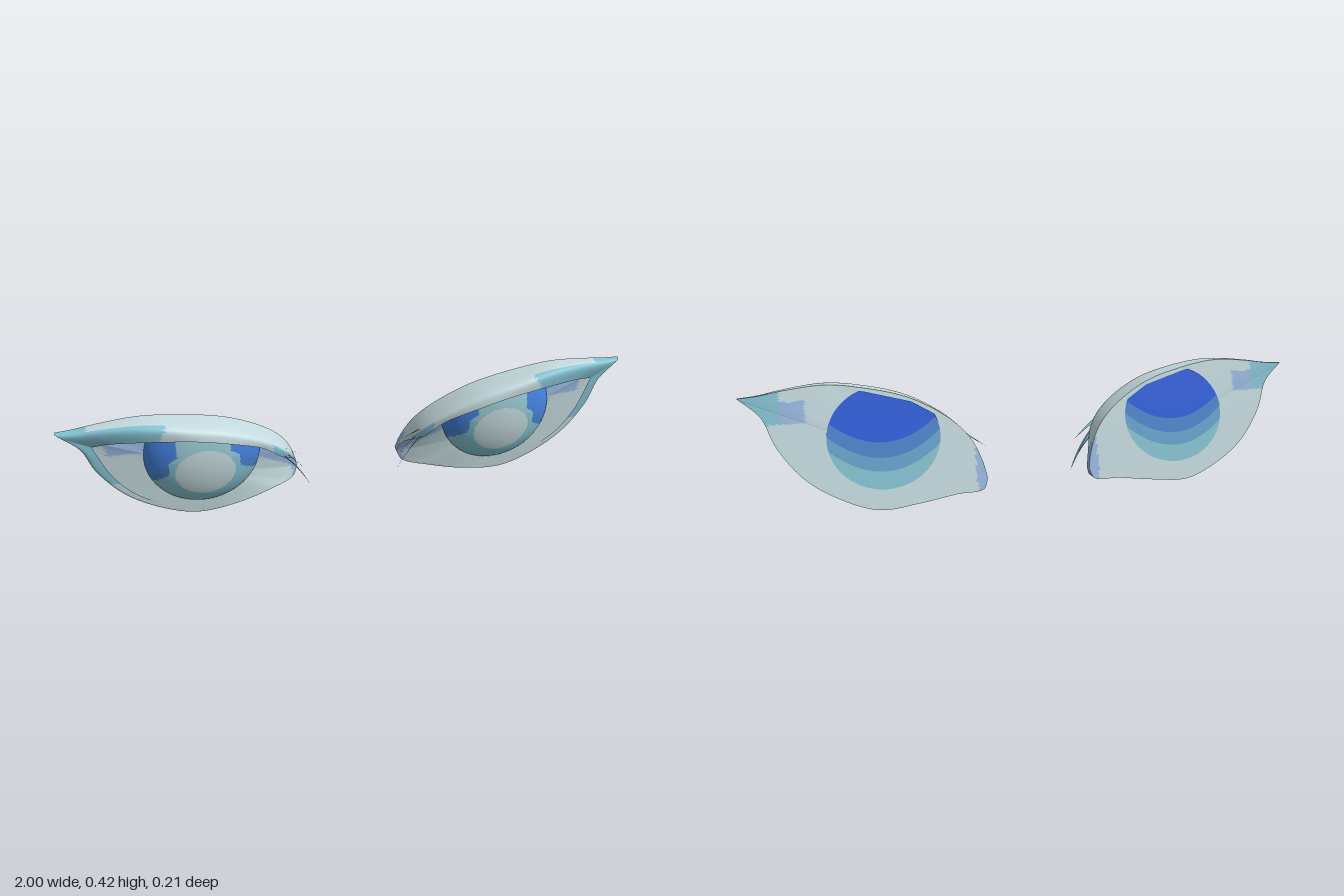
import * as THREE from 'three';

const mat = (name, color) =>
  Object.assign(new THREE.MeshStandardMaterial({ color, side: THREE.DoubleSide }), { name });

// Rim of the eye, from outer corner over the top to the inner end: [rim xyz, lid opening xyz]
const UPPER = [
  [1, 0.39, 0, 0.89, 0.33, 0.025], [0.93, 0.395, 0, 0.85, 0.342, 0.04],
  [0.865, 0.405, 0.003, 0.81, 0.35, 0.055], [0.725, 0.416, 0.007, 0.675, 0.357, 0.09],
  [0.6, 0.4, 0.008, 0.54, 0.345, 0.105], [0.435, 0.355, 0.008, 0.435, 0.313, 0.098],
  [0.3, 0.275, 0, 0.33, 0.26, 0.07], [0.235, 0.205, -0.02, 0.255, 0.185, 0.035],
  [0.2, 0.125, -0.05, 0.205, 0.12, -0.04], [0.188, 0.07, -0.065, 0.19, 0.07, -0.064],
];
// ... and back along the bottom to the outer corner
const LOWER = [
  [0.188, 0.07, -0.065, 0.19, 0.07, -0.064], [0.205, 0.036, -0.05, 0.21, 0.04, -0.05],
  [0.3, 0.028, 0, 0.3, 0.034, 0], [0.435, 0.01, 0.028, 0.435, 0.016, 0.03],
  [0.57, 0.002, 0.03, 0.57, 0.01, 0.032], [0.7, 0.05, 0.03, 0.68, 0.06, 0.034],
  [0.81, 0.125, 0.022, 0.78, 0.13, 0.032], [0.89, 0.23, 0.012, 0.84, 0.21, 0.03],
  [0.93, 0.325, 0.005, 0.87, 0.28, 0.028], [1, 0.39, 0, 0.89, 0.33, 0.025],
];
const STEPS = 90;
const sample = (rows, k) => new THREE.CatmullRomCurve3(
  rows.map((r) => new THREE.Vector3(r[k], r[k + 1], r[k + 2])), false, 'centripetal').getPoints(STEPS);
const contour = (k) => [...sample(UPPER, k), ...sample(LOWER, k).slice(1)];
const V = (x, y, z) => new THREE.Vector3(x, y, z);
const range = (n) => Array.from({ length: n + 1 }, (_, i) => i / n);

// The back is a slanted plane
const backZ = (y) => -0.105 * (0.39 - y) / 0.39;

// Height of the upper rim at x
function rimTop(x) {
  const i = UPPER.findIndex((r) => r[0] <= x);
  const [a, b] = [UPPER[i - 1], UPPER[i]];
  return THREE.MathUtils.mapLinear(x, a[0], b[0], a[1], b[1]);
}

// Joins rows of points into a surface; pick(centre, row) gives the material index of each quad
function loft(name, rows, materials, pick = () => 0) {
  const n = rows[0].length;
  const buckets = materials.map(() => []);
  for (let i = 0; i < rows.length - 1; i++) {
    for (let j = 0; j < n - 1; j++) {
      const a = i * n + j, b = a + 1, c = a + n, d = c + 1;
      const centre = rows[i][j].clone().add(rows[i + 1][j + 1]).multiplyScalar(0.5);
      buckets[pick(centre, i)].push(a, c, b, b, c, d);
    }
  }
  const geo = new THREE.BufferGeometry().setFromPoints(rows.flat());
  geo.setIndex(buckets.flat());
  let start = 0;
  buckets.forEach((b, i) => {
    if (b.length) geo.addGroup(start, b.length, i);
    start += b.length;
  });
  geo.computeVertexNormals();
  const mesh = new THREE.Mesh(geo, materials);
  mesh.name = name;
  return mesh;
}

function buildEye(m) {
  const eye = new THREE.Group();
  const rim = contour(0), opening = contour(3);

  // Eyelid: flat top running forward from the rim, then a steep front band down to the opening
  const lidRows = range(12).map((t) => rim.map((o, i) => {
    const p = opening[i];
    const c1 = o.clone().lerp(p, 0.01).setZ(o.z + (p.z - o.z) * 0.92);
    const c2 = o.clone().lerp(p, 0.06).setZ(o.z + (p.z - o.z) * 0.94);
    return new THREE.CubicBezierCurve3(o, c1, c2, p).getPoint(t);
  }));
  eye.add(loft('eyelid', lidRows, [m.pale, m.teal], (c, row) => {
    const outer = c.x > 0.9 || (row > 3 && c.x > 0.65 + (0.4 - c.y) * 0.3);
    const inner = row > 6 && c.x < 0.29;
    return c.y > 0.17 && (outer || inner) ? 1 : 0;
  }));

  // Side wall between the rim and the back
  const backEdge = rim.map((p) => V(p.x, p.y, Math.min(backZ(p.y), p.z - 0.001)));
  eye.add(loft('sideWall', range(10).map((t) => rim.map((p, i) => p.clone().lerp(backEdge[i], t))),
    [m.pale, m.teal, m.periwinkle], (c) => {
      if (c.x < 0.21) return 2;
      return c.x > 0.7 && c.y > 0.2 - c.z * 4 ? 1 : 0;
    }));

  // White of the eye: shallow dish closing towards the centre
  const mid = V(0.53, 0.2, 0.032);
  const whiteRows = range(30).map((t) => rim.map((p) => {
    const q = p.clone().lerp(mid, t);
    return q.setZ(mid.z + (p.z - mid.z) * (1 - t) ** 2);
  }));
  eye.add(loft('eyeWhite', whiteRows, [m.pale, m.periwinkle], (c) =>
    (c.x < 0.21 || (c.x < 0.36 && c.y > 0.07 + (c.x - 0.19) * 0.8) ||
     (c.x > 0.7 && c.x < 0.85 && c.y > 0.28) ? 1 : 0)));

  // Iris: round dome cut off under the lid, blue at the upper sides and teal elsewhere
  const irisRows = range(56).map((t) => range(160).map((u) => {
    const a = u * Math.PI * 2, r = 0.2 * Math.sin(t * Math.PI / 2);
    const x = 0.53 + r * Math.cos(a);
    const y = Math.min(0.248 + r * Math.sin(a), rimTop(x) - 0.014);
    return V(x, y, 0.012 + 0.091 * Math.cos(t * Math.PI / 2));
  }));
  eye.add(loft('iris', irisRows, [m.pale, m.teal, m.lightTeal, m.midBlue, m.blue], (c) => {
    const dx = Math.abs(c.x - 0.53), dy = c.y - 0.21;
    if (Math.hypot(dx / 0.102, dy / 0.092) < 1) return 0;
    const above = dy - 0.075 + 0.8 * (dx - 0.09);
    if (dx > 0.09 && above > 0) return 4;
    if (dx > 0.12 && above > -0.045) return 3;
    return dy > 0.05 ? 2 : 1;
  }));

  // Slanted back
  const backMid = V(0.55, 0.2, backZ(0.2));
  eye.add(loft('back', range(30).map((t) => backEdge.map((p) => p.clone().lerp(backMid, t))),
    [m.pale, m.teal, m.periwinkle], (c) => {
      if (c.x > 0.87 && c.y > 0.3) return 1;
      return (c.x > 0.79 && c.y > 0.3 && c.y < 0.37) || c.x < 0.225 ? 2 : 0;
    }));

  // Painted iris on the back: a disc cut off by the rim, then bands bounded below by an arc
  [[0, m.teal], [0.125, m.skyBlue], [0.17, m.midBlue], [0.22, m.deepBlue]].forEach(([low, c], k) => {
    const pts = range(80).slice(1).map((t) => {
      const a = t * Math.PI * 2;
      const dx = 0.192 * Math.cos(a), rise = 0.168 * Math.sin(a);
      const arc = low ? Math.min(low + 2.2 * dx * dx, 0.235 + Math.abs(rise)) : 0;
      const y = Math.max(0.235 + rise, arc);
      return new THREE.Vector2(0.535 + dx, Math.min(y, rimTop(0.535 + dx) - 0.01));
    });
    const geo = new THREE.ShapeGeometry(new THREE.Shape(pts));
    const pos = geo.attributes.position;
    for (let i = 0; i < pos.count; i++) pos.setZ(i, backZ(pos.getY(i)) - 0.0015 * (k + 1));
    // Faces turned to the rear
    const idx = geo.index.array;
    for (let i = 0; i < idx.length; i += 3) [idx[i], idx[i + 1]] = [idx[i + 1], idx[i]];
    geo.computeVertexNormals();
    const mesh = new THREE.Mesh(geo, c);
    mesh.name = 'backIrisBand';
    eye.add(mesh);
  });

  // Lashes: thin curved blades at the inner end, broad from front to back
  [[V(0.32, 0.265, 0.035), V(0.25, 0.225, 0.04), V(0.168, 0.16, 0.006)],
    [V(0.27, 0.21, 0.035), V(0.2, 0.15, 0.04), V(0.157, 0.035, 0.02)],
    [V(0.29, 0.235, 0.025), V(0.23, 0.19, 0.025), V(0.175, 0.1, 0)]].forEach((p) => {
    const spine = new THREE.QuadraticBezierCurve3(...p).getPoints(14);
    const edge = spine.map((q, i) => {
      const w = 0.022 * (1 - i / 14);
      return V(q.x + w * 0.45, q.y - w * 0.45, q.z - w * 1.2);
    });
    eye.add(loft('lash', [spine, edge], [m.teal]));
  });
  return eye;
}

export function createModel() {
  const m = {
    pale: mat('pale grey', 0xc4dade),
    teal: mat('teal', 0x84c2d2),
    lightTeal: mat('light teal', 0x98c8d2),
    periwinkle: mat('periwinkle', 0x98b8e0),
    skyBlue: mat('sky blue', 0x62a2cc),
    midBlue: mat('mid blue', 0x4882cc),
    blue: mat('bright blue', 0x4482e0),
    deepBlue: mat('deep blue', 0x225bdc),
  };
  const model = new THREE.Group();
  model.name = 'eyes';
  const left = buildEye(m);
  left.name = 'leftEye';
  const right = buildEye(m);
  right.name = 'rightEye';
  right.scale.x = -1;
  model.add(left, right);
  return model;
}
